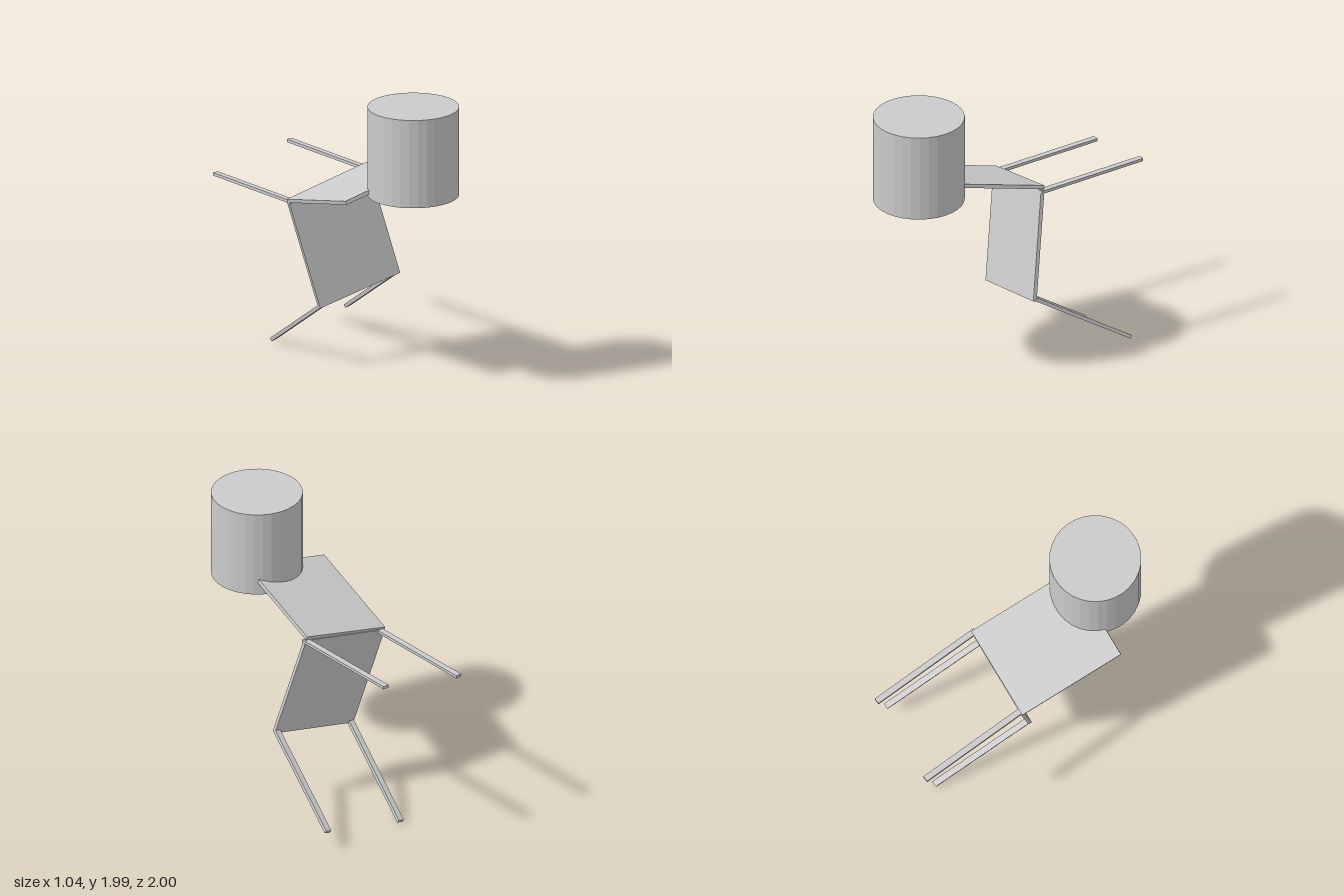
import * as THREE from 'three';

const V = (x, y, z) => new THREE.Vector3(x, y, z);
const material = new THREE.MeshStandardMaterial({ color: 0xcccccc, flatShading: true });
const ACROSS = V(0.645, 0.145, 0.06); // direction across the tipped chair

// Box running from start to end, its width lying along the given direction
function bar(name, start, end, width, thickness, across = ACROSS) {
  const along = end.clone().sub(start);
  const length = along.length();
  along.normalize();
  const side = across.clone().addScaledVector(along, -across.dot(along)).normalize();
  const normal = V(0, 0, 0).crossVectors(side, along);
  const mesh = new THREE.Mesh(new THREE.BoxGeometry(width, length, thickness), material);
  mesh.quaternion.setFromRotationMatrix(new THREE.Matrix4().makeBasis(side, along, normal));
  mesh.position.addVectors(start, end).multiplyScalar(0.5);
  mesh.name = name;
  return mesh;
}

export function createModel() {
  const group = new THREE.Group();
  group.name = 'tippedChairWithDrum';

  // Chair panels
  group.add(bar('seat', V(0.05, 0.5, 0), V(-0.09, 1.242, -0.163), 0.665, 0.026));
  group.add(bar('backrest', V(-0.09, 1.25, -0.173), V(-0.2, 1.442, 0.578), 0.665, 0.026));

  // Upper pair of legs, level and pointing straight back
  const level = V(1, 0, 0);
  group.add(bar('upperRightLeg', V(-0.38, 1.17, -0.17), V(-0.38, 1.17, -1), 0.042, 0.021, level));
  group.add(bar('upperLeftLeg', V(0.226, 1.295, -0.115), V(0.226, 1.295, -0.95), 0.042, 0.021, level));

  // Lower pair of legs, sloping to the ground
  group.add(bar('lowerRightLeg', V(-0.255, 0.452, -0.025), V(-0.11, 0.017, -0.715), 0.042, 0.025));
  group.add(bar('lowerLeftLeg', V(0.355, 0.575, 0.02), V(0.495, 0.143, -0.665), 0.042, 0.025));

  // Drum resting on the end of the backrest
  const drum = new THREE.Mesh(new THREE.CylinderGeometry(0.31, 0.31, 0.62, 32), material);
  drum.position.set(-0.05, 1.68, 0.69);
  drum.name = 'drum';
  group.add(drum);

  return group;
}
